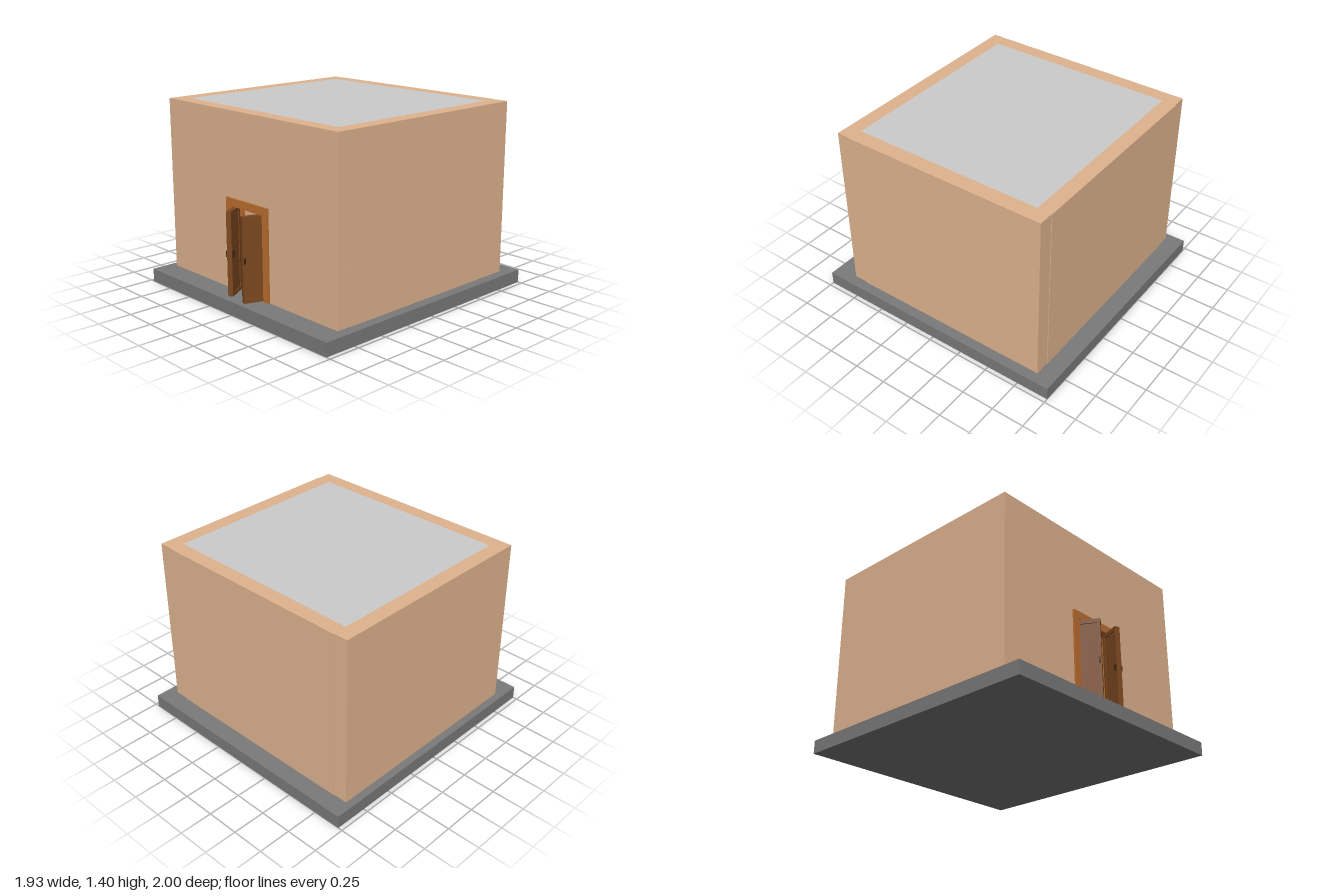
import * as THREE from 'three';

const paint = (color) => new THREE.MeshStandardMaterial({ color });
const WALL = paint(0xe0b48f);
const GREY = paint(0xcccccc);
const STONE = paint(0x7a7a7a);
const FRAME = paint(0xbd6e30);
const WOOD = paint(0x7d4820);
const DARK = paint(0x3a2412);

// Box given by its limits on each axis
function box(name, mat, [x0, x1], [y0, y1], [z0, z1]) {
  const mesh = new THREE.Mesh(new THREE.BoxGeometry(x1 - x0, y1 - y0, z1 - z0), mat);
  mesh.name = name;
  mesh.position.set((x0 + x1) / 2, (y0 + y1) / 2, (z0 + z1) / 2);
  return mesh;
}

// Closed outline of a rectangle
function rect(Type, x0, x1, y0, y1) {
  const p = new Type();
  p.moveTo(x0, y0).lineTo(x1, y0).lineTo(x1, y1).lineTo(x0, y1).closePath();
  return p;
}

function slab(name, mat, shape, z0, z1) {
  const geo = new THREE.ExtrudeGeometry(shape, { depth: z1 - z0, bevelEnabled: false });
  const mesh = new THREE.Mesh(geo, mat);
  mesh.name = name;
  mesh.position.z = z0;
  return mesh;
}

// Rectangle with a doorway cut up from its bottom edge
function arch(x0, x1, y0, y1, d0, d1, dTop) {
  const s = new THREE.Shape();
  s.moveTo(x0, y0).lineTo(d0, y0).lineTo(d0, dTop).lineTo(d1, dTop).lineTo(d1, y0);
  s.lineTo(x1, y0).lineTo(x1, y1).lineTo(x0, y1).closePath();
  return s;
}

// Panelled leaf; side = 1 opens along +x from its hinge, -1 along -x
function doorLeaf(name, side, hingeX, hingeZ, angle) {
  const w = 0.168, h = 0.62, t = 0.037;
  const leaf = new THREE.Group();
  leaf.name = name;
  const xs = side > 0 ? [0, w] : [-w, 0];
  const rim = rect(THREE.Shape, xs[0], xs[1], 0, h);
  rim.holes.push(rect(THREE.Path, xs[0] + 0.022, xs[1] - 0.022, 0.025, h - 0.03));
  leaf.add(slab('leafRim', WOOD, rim, -t, 0));
  leaf.add(box('leafPanel', WOOD, [xs[0] + 0.02, xs[1] - 0.02], [0.02, h - 0.025], [-t + 0.007, -0.007]));
  // Handle on each face
  const hx = side * (w - 0.013);
  for (const z of [[-0.001, 0.01], [-t - 0.01, -t + 0.001]]) {
    leaf.add(box('handle', DARK, [hx - 0.006, hx + 0.006], [0.287, 0.33], z));
  }
  leaf.position.set(hingeX, 0.102, hingeZ);
  leaf.rotation.y = -side * THREE.MathUtils.degToRad(angle);
  return leaf;
}

export function createModel() {
  const model = new THREE.Group();
  model.name = 'house';

  model.add(box('foundation', STONE, [-0.967, 0.967], [0, 0.1], [-1, 1]));
  model.add(box('floor', WALL, [-0.8, 0.775], [0.098, 0.104], [-0.76, 0.715]));

  // Walls
  model.add(slab('frontWall', WALL, arch(-0.91, 0.885, 0.1, 1.4, -0.24, 0.21, 0.775), 0.715, 0.825));
  model.add(box('rightWall', WALL, [-0.91, -0.8], [0.1, 1.4], [-0.865, 0.715]));
  model.add(box('leftWall', WALL, [0.775, 0.89], [0.1, 1.4], [-0.865, 0.715]));
  model.add(box('backWall', WALL, [-0.8, 0.775], [0.1, 1.4], [-0.87, -0.76]));

  // Roof and interior
  model.add(box('roof', GREY, [-0.8, 0.775], [1.34, 1.4], [-0.76, 0.715]));
  model.add(box('backLining', GREY, [-0.8, 0.775], [0.1, 1.34], [-0.76, -0.75]));
  model.add(box('counterBody', STONE, [-0.45, 0.45], [0.1, 0.53], [-0.6, -0.35]));
  model.add(box('counterTop', STONE, [-0.47, 0.47], [0.53, 0.56], [-0.62, -0.33]));

  // Doorway
  model.add(slab('doorFrame', FRAME, arch(-0.24, 0.21, 0.1, 0.78, -0.185, 0.155, 0.722), 0.715, 0.84));
  model.add(doorLeaf('rightDoor', 1, -0.184, 0.803, 60));
  model.add(doorLeaf('leftDoor', -1, 0.157, 0.807, 69));

  return model;
}
